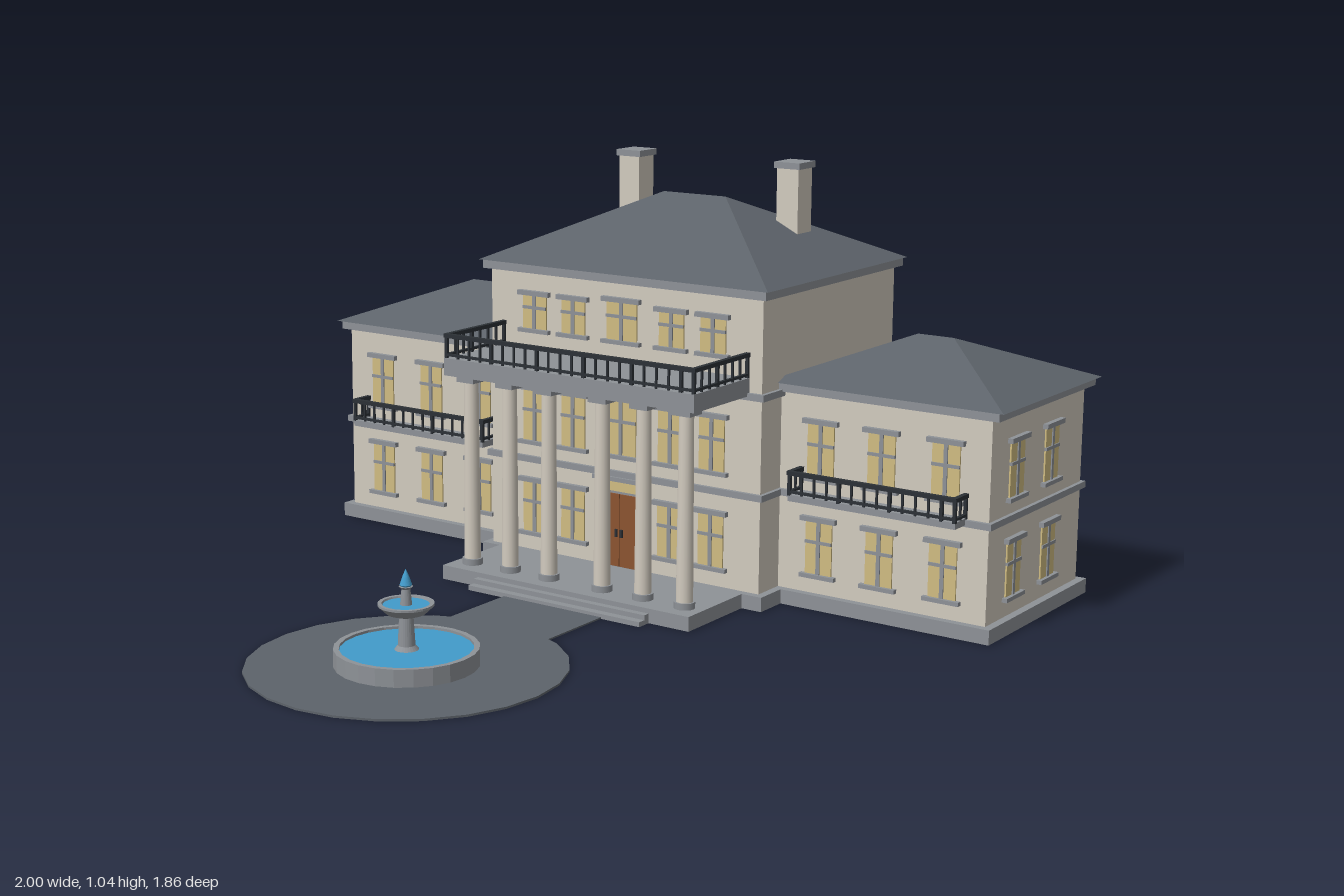
import * as THREE from 'three';

const mat = (name, color, side = THREE.FrontSide) => {
  const m = new THREE.MeshStandardMaterial({ color, side });
  m.name = name;
  return m;
};

export function createModel() {
  const model = new THREE.Group();
  model.name = 'mansion';
  const wall = mat('stone wall', 0xd2cbbf);
  const trim = mat('grey trim', 0x8e9297);
  const slate = mat('slate', 0x5d636a);
  const iron = mat('dark iron', 0x2c3136);
  const glass = mat('warm glass', 0xd0bc82);
  const wood = mat('door wood', 0x8c5430);
  const water = mat('water', 0x429bca);

  const add = (parent, name, geo, m, x = 0, y = 0, z = 0) => {
    const mesh = new THREE.Mesh(geo, m);
    mesh.name = name;
    mesh.position.set(x, y, z);
    parent.add(mesh);
    return mesh;
  };
  // Box given by its min and max on each axis
  const box = (parent, name, m, x0, x1, y0, y1, z0, z1) =>
    add(parent, name, new THREE.BoxGeometry(x1 - x0, y1 - y0, z1 - z0), m,
      (x0 + x1) / 2, (y0 + y1) / 2, (z0 + z1) / 2);
  const group = (parent, name, x = 0, y = 0, z = 0, turn = 0) => {
    const g = new THREE.Group();
    g.name = name;
    g.position.set(x, y, z);
    g.rotation.y = turn;
    parent.add(g);
    return g;
  };

  // Hip roof: a box whose top collapses to a ridge
  const hipRoof = (parent, cx, cz, hx, hz, y0, y1, ridge) => {
    let g = new THREE.BoxGeometry(hx * 2, y1 - y0, hz * 2);
    const p = g.attributes.position;
    for (let i = 0; i < p.count; i++) {
      if (p.getY(i) > 0) {
        p.setX(i, Math.sign(p.getX(i)) * ridge);
        p.setZ(i, 0);
      }
    }
    g = g.toNonIndexed();
    g.computeVertexNormals();
    add(parent, 'hipRoof', g, slate, cx, (y0 + y1) / 2, cz);
  };

  // Window facing +z, with sill at y and a height h
  const windowAt = (parent, x, y, z, h, turn = 0, w = 0.036) => {
    const g = group(parent, 'window', x, y, z, turn);
    box(g, 'pane', glass, -w, w, 0.008, h - 0.01, -0.002, 0.004);
    box(g, 'mullion', trim, -0.005, 0.005, 0.008, h - 0.01, 0, 0.007);
    box(g, 'crossBar', trim, -w, w, h * 0.56, h * 0.56 + 0.008, 0, 0.007);
    box(g, 'lintel', trim, -w - 0.012, w + 0.012, h - 0.012, h, -0.002, 0.013);
    box(g, 'sill', trim, -w - 0.012, w + 0.012, 0, 0.01, -0.002, 0.013);
  };
  const floors = [[0.075, 0.153], [0.315, 0.153], [0.605, 0.107]];

  // Railing along a straight run
  const railing = (parent, x0, z0, x1, z1, y0, y1) => {
    const len = Math.hypot(x1 - x0, z1 - z0);
    const g = group(parent, 'railing', x0, 0, z0, -Math.atan2(z1 - z0, x1 - x0));
    box(g, 'topRail', iron, -0.005, len + 0.005, y1 - 0.01, y1, -0.006, 0.006);
    box(g, 'bottomRail', iron, 0, len, y0 + 0.006, y0 + 0.012, -0.004, 0.004);
    const n = Math.max(2, Math.round(len / 0.034));
    for (let i = 0; i <= n; i++) {
      const r = i % 4 === 0 || i === n ? 0.004 : 0.0025;
      const x = (i / n) * len;
      box(g, 'baluster', iron, x - r, x + r, y0, y1 - 0.005, -r, r);
    }
  };

  // Central block
  const main = group(model, 'mainBlock');
  box(main, 'plinth', trim, -0.425, 0.425, 0, 0.036, -0.925, -0.255);
  box(main, 'walls', wall, -0.405, 0.405, 0.036, 0.765, -0.91, -0.275);
  for (const [y0, y1, o] of [[0.268, 0.284, 0.01], [0.513, 0.53, 0.01], [0.758, 0.782, 0.016]])
    box(main, 'stringCourse', trim, -0.405 - o, 0.405 + o, y0, y1, -0.91 - o, -0.275 + o);
  hipRoof(main, 0, -0.592, 0.43, 0.34, 0.78, 0.945, 0.093);
  floors.forEach(([y, h], f) => {
    for (const x of [-0.267, -0.147, 0.147, 0.267]) windowAt(main, x, y, -0.275, h);
    if (f > 0) windowAt(main, 0, y, -0.275, h + 0.01, 0, 0.045);
    for (let i = -2; i <= 2; i++) windowAt(main, i * 0.155, y, -0.91, h, Math.PI);
  });

  // Entrance door with a glazed light above
  const door = group(model, 'entrance', 0, 0, -0.275);
  box(door, 'frame', trim, -0.07, 0.07, 0.036, 0.268, -0.002, 0.004);
  for (const s of [-1, 1]) {
    box(door, 'doorLeaf', wood, s * 0.031 - 0.03, s * 0.031 + 0.03, 0.038, 0.225, 0, 0.008);
    box(door, 'handle', iron, s * 0.008 - 0.003, s * 0.008 + 0.003, 0.115, 0.135, 0, 0.013);
  }
  box(door, 'transomLight', glass, -0.06, 0.06, 0.232, 0.258, 0, 0.008);
  box(door, 'lintel', trim, -0.078, 0.078, 0.258, 0.269, 0, 0.016);

  // Chimneys
  for (const s of [-1, 1]) {
    const c = group(model, 'chimney', s * 0.24, 0, -0.681);
    box(c, 'stack', wall, -0.031, 0.031, 0.84, 1.022, -0.033, 0.033);
    box(c, 'cap', trim, -0.037, 0.037, 1.02, 1.036, -0.039, 0.039);
  }

  // Side wings with shallow front balconies
  for (const s of [-1, 1]) {
    const w = group(model, s > 0 ? 'leftWing' : 'rightWing');
    const sbox = (name, m, a, b, ...r) =>
      box(w, name, m, Math.min(s * a, s * b), Math.max(s * a, s * b), ...r);
    sbox('plinth', trim, 0.4, 0.983, 0, 0.036, -0.875, -0.345);
    sbox('walls', wall, 0.4, 0.963, 0.036, 0.53, -0.857, -0.365);
    sbox('stringCourse', trim, 0.4, 0.973, 0.268, 0.284, -0.867, -0.355);
    sbox('cornice', trim, 0.4, 0.985, 0.525, 0.548, -0.872, -0.352);
    hipRoof(w, s * 0.684, -0.612, 0.314, 0.266, 0.546, 0.652, 0.048);
    for (const [y, h] of floors.slice(0, 2)) {
      for (const x of [0.518, 0.682, 0.85]) {
        windowAt(w, s * x, y, -0.365, h);
        windowAt(w, s * x, y, -0.857, h, Math.PI);
      }
      for (const z of [-0.495, -0.68]) windowAt(w, s * 0.963, y, z, h, s * Math.PI / 2);
    }
    sbox('balconyFloor', trim, 0.463, 0.907, 0.272, 0.288, -0.365, -0.305);
    const a = s * 0.466, b = s * 0.904;
    railing(w, Math.min(a, b), -0.308, Math.max(a, b), -0.308, 0.286, 0.346);
    for (const x of [a, b]) railing(w, x, -0.362, x, -0.308, 0.286, 0.346);
  }

  // Portico: floor, steps, columns and balcony
  const porch = group(model, 'portico');
  box(porch, 'porchFloor', trim, -0.37, 0.37, 0, 0.036, -0.257, -0.022);
  box(porch, 'upperStep', trim, -0.257, 0.257, 0, 0.024, -0.03, -0.004);
  box(porch, 'lowerStep', trim, -0.257, 0.257, 0, 0.012, -0.03, 0.017);
  for (const x of [-0.32, -0.2, -0.08, 0.08, 0.2, 0.32]) {
    const c = group(porch, 'column', x, 0, -0.08);
    add(c, 'shaft', new THREE.CylinderGeometry(0.018, 0.021, 0.47, 16), wall, 0, 0.275, 0);
    add(c, 'foot', new THREE.CylinderGeometry(0.026, 0.026, 0.016, 16), trim, 0, 0.044, 0);
    box(c, 'capital', trim, -0.026, 0.026, 0.505, 0.524, -0.026, 0.026);
  }
  box(porch, 'balconySlab', trim, -0.37, 0.37, 0.522, 0.566, -0.275, -0.034);
  railing(porch, -0.365, -0.04, 0.365, -0.04, 0.565, 0.627);
  for (const x of [-0.365, 0.365]) railing(porch, x, -0.272, x, -0.04, 0.565, 0.627);

  // Drive
  box(model, 'path', slate, -0.146, 0.146, 0, 0.004, 0.017, 0.25);
  add(model, 'roundCourt', new THREE.CylinderGeometry(0.367, 0.367, 0.005, 24), slate, 0, 0.0025, 0.562);

  // Fountain
  const f = group(model, 'fountain', 0, 0, 0.562);
  const lathe = (name, m, pts) => add(f, name,
    new THREE.LatheGeometry(pts.map(([x, y]) => new THREE.Vector2(x, y)), 24).toNonIndexed(), m)
    .geometry.computeVertexNormals();
  lathe('basin', trim, [[0.165, 0.004], [0.165, 0.046], [0.152, 0.046], [0.152, 0.03]]);
  add(f, 'pool', new THREE.CylinderGeometry(0.153, 0.153, 0.006, 24), water, 0, 0.037, 0);
  lathe('pedestal', trim, [[0.028, 0.04], [0.02, 0.05], [0.016, 0.12]]);
  lathe('bowl', trim, [[0.016, 0.115], [0.045, 0.125], [0.064, 0.143], [0.064, 0.148], [0.055, 0.148], [0.05, 0.135]]);
  add(f, 'bowlWater', new THREE.CylinderGeometry(0.053, 0.05, 0.004, 24), water, 0, 0.142, 0);
  lathe('stem', trim, [[0.014, 0.14], [0.01, 0.18], [0.016, 0.186], [0, 0.19]]);
  lathe('jet', water, [[0.008, 0.18], [0.014, 0.19], [0.008, 0.208], [0, 0.227]]);

  return model;
}
